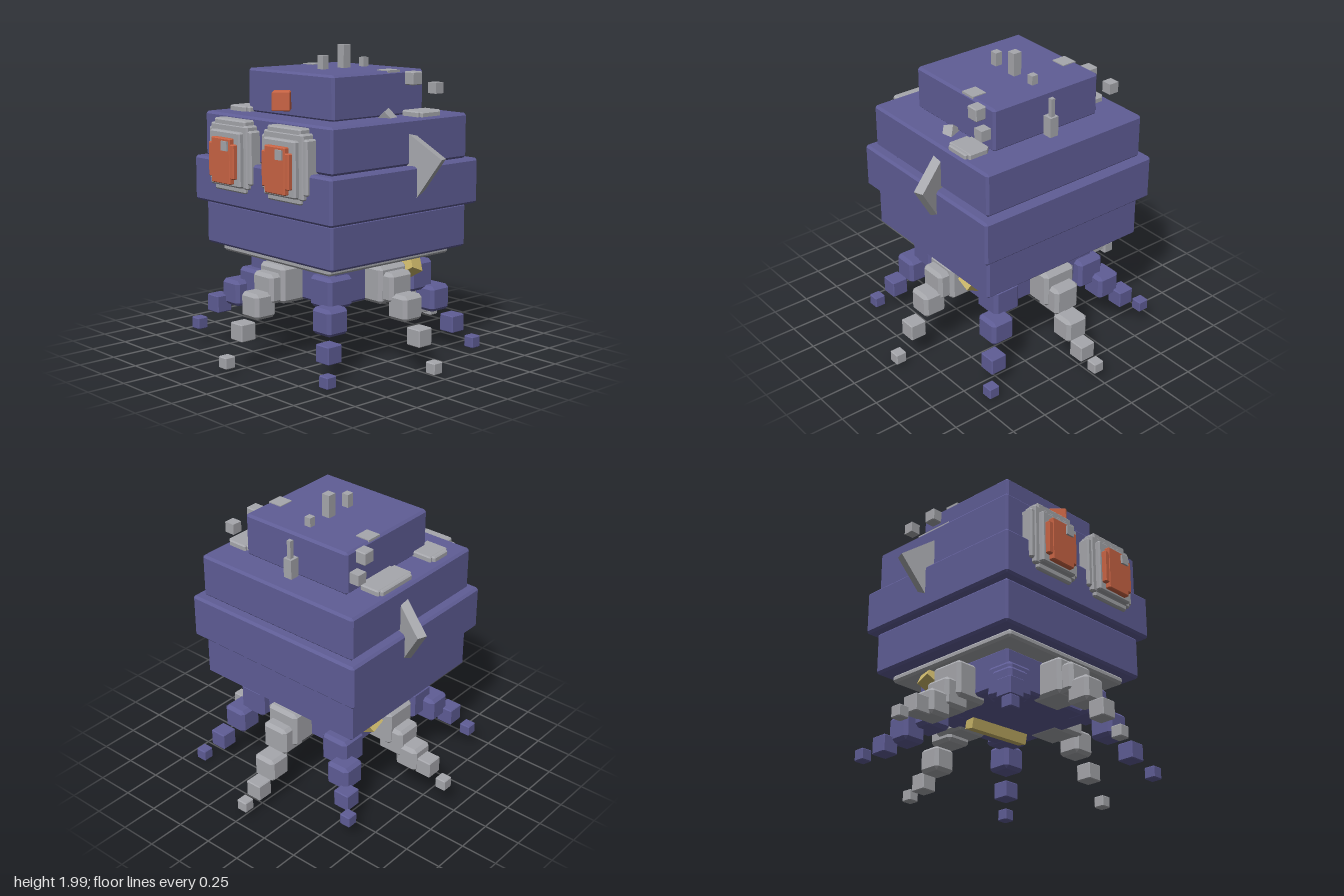
import * as THREE from 'three';
import { ConvexGeometry } from 'three/addons/geometries/ConvexGeometry.js';

const mat = (name, color) => new THREE.MeshStandardMaterial({ name, color });

export function createModel() {
  const root = new THREE.Group();
  const blue = mat('indigo', 0x5f5d96);
  const grey = mat('grey', 0xa6a7ac);
  const orange = mat('orange', 0xcb6545);
  const gold = mat('gold', 0xc8b468);

  const place = (geo, m, name, pos, parent = root) => {
    const mesh = new THREE.Mesh(geo, m);
    mesh.name = name;
    mesh.position.set(...pos);
    parent.add(mesh);
    return mesh;
  };
  const box = (name, m, size, pos, parent) =>
    place(new THREE.BoxGeometry(...size), m, name, pos, parent);

  // Box with flat chamfers of width c along every edge
  const bevelBox = (name, m, [w, h, d], pos, c = 0.015, parent = root) => {
    const pts = [];
    for (const x of [-1, 1]) for (const y of [-1, 1]) for (const z of [-1, 1])
      for (let k = 0; k < 3; k++)
        pts.push(new THREE.Vector3(
          x * (w / 2 - (k === 0 ? 0 : c)),
          y * (h / 2 - (k === 1 ? 0 : c)),
          z * (d / 2 - (k === 2 ? 0 : c))));
    return place(new ConvexGeometry(pts), m, name, pos, parent);
  };

  // Stacked body tiers: width, bottom, top, depth
  for (const [name, m, w, y0, y1, d] of [
    ['core', blue, 0.82, 0.415, 0.66, 0.78],
    ['skirt', grey, 1.05, 0.65, 0.7, 1.05],
    ['lowerTier', blue, 1.23, 0.7, 0.985, 1.17],
    ['middleTier', blue, 1.335, 0.985, 1.28, 1.275],
    ['upperTier', blue, 1.23, 1.28, 1.57, 1.17],
    ['headTier', blue, 0.82, 1.565, 1.85, 0.78],
  ]) bevelBox(name, m, [w, y1 - y0, d], [0, (y0 + y1) / 2, 0]);

  // Eyes: overlapping grey frames, orange lenses and a small glint
  for (const s of [-1, 1]) {
    const eye = new THREE.Group();
    eye.name = s > 0 ? 'leftEye' : 'rightEye';
    eye.position.set(s * 0.265, 0, 0);
    root.add(eye);
    bevelBox('eyeFrameTall', grey, [0.31, 0.46, 0.1], [0, 1.32, 0.612], 0.01, eye);
    bevelBox('eyeFrame', grey, [0.37, 0.4, 0.1], [0, 1.32, 0.617], 0.01, eye);
    bevelBox('eyeFrameWide', grey, [0.425, 0.34, 0.1], [0, 1.32, 0.61], 0.01, eye);
    bevelBox('eyeInnerFrame', grey, [0.3, 0.35, 0.1], [0, 1.305, 0.65], 0.01, eye);
    bevelBox('eyeLensTall', orange, [0.19, 0.29, 0.1], [0, 1.295, 0.684], 0.006, eye);
    bevelBox('eyeLensWide', orange, [0.255, 0.22, 0.1], [0, 1.295, 0.68], 0.006, eye);
    box('eyeGlint', grey, [0.06, 0.06, 0.02], [0.052, 1.393, 0.737], eye);
  }

  // Diamond-set nose block
  bevelBox('nose', orange, [0.115, 0.122, 0.115], [0, 1.673, 0.45], 0.006)
    .rotation.y = Math.PI / 4;

  // Posts on the crown and the back post
  for (const [z, top, w] of [[0.105, 1.938, 0.05], [-0.075, 2, 0.058], [-0.25, 1.91, 0.045]])
    box('crownPost', grey, [w, top - 1.84, w], [0, (top + 1.84) / 2, z]);
  box('backPostBase', grey, [0.062, 0.13, 0.066], [0, 1.635, -0.427]);
  box('backPostRod', grey, [0.028, 0.13, 0.028], [0, 1.755, -0.432]);

  for (const s of [-1, 1]) {
    // Stepped cubes and flush plates beside the crown
    bevelBox('upperSideCube', grey, [0.08, 0.085, 0.085], [s * 0.44, 1.8, -0.265], 0.006);
    box('lowerSideCube', grey, [0.07, 0.07, 0.07], [s * 0.505, 1.735, -0.403]);
    box('crownPlate', grey, [0.1, 0.02, 0.105], [s * 0.355, 1.846, -0.128]);

    // Angular ear: a square slab set on its corner and swept back
    box(s > 0 ? 'leftEar' : 'rightEar', grey, [0.34, 0.34, 0.065], [s * 0.59, 1.284, -0.082])
      .rotation.set(0, s * 0.35, s * -0.592);

    // Gold wedges tucked under the skirt
    box('skirtWedge', gold, [0.2, 0.13, 0.1], [s * 0.42, 0.585, -0.22])
      .rotation.set(-0.4, 0, s * 0.6);
  }
  box('bellyBar', gold, [0.44, 0.07, 0.075], [0.06, 0.382, -0.16]).rotation.set(0.2, -0.12, 0);

  // Patches lying on the shoulders: each is two crossing plates
  for (const [x, z, w, d] of [
    [-0.49, -0.115, 0.18, 0.33], [-0.46, 0.35, 0.2, 0.18], [0.51, -0.27, 0.18, 0.21],
  ]) {
    bevelBox('shoulderPatch', grey, [w, 0.045, d - 0.04], [x, 1.58, z], 0.008);
    bevelBox('shoulderPatch', grey, [w - 0.04, 0.05, d], [x, 1.58, z], 0.008);
  }
  box('shoulderShard', grey, [0.08, 0.08, 0.07], [0.455, 1.565, -0.02])
    .rotation.set(0.3, 0.4, 0.6);

  // Legs: shrinking blocks stepping outward; heights listed from hip to tip
  const leg = (name, m, dx, dz, steps, sizes, heights) => {
    const g = new THREE.Group();
    g.name = name;
    root.add(g);
    heights.forEach((y, i) => {
      const s = sizes[i];
      bevelBox('legBlock', m, [s, s, s], [dx * steps[i], y, dz * steps[i]],
        s > 0.14 ? 0.022 : 0.006, g);
    });
  };
  const straightSteps = [0.43, 0.53, 0.65, 0.775, 0.905];
  const straightSizes = [0.24, 0.19, 0.165, 0.113, 0.076];
  for (const [name, dx, dz, heights] of [
    ['frontLeg', 0, 1, [0.525, 0.505, 0.405, 0.255, 0.08]],
    ['backLeg', 0, -1, [0.52, 0.455, 0.28, 0.158, 0.1]],
    ['leftLeg', 1, 0, [0.53, 0.52, 0.405, 0.237, 0.065]],
    ['rightLeg', -1, 0, [0.5, 0.4, 0.31, 0.275, 0.196]],
  ]) leg(name, grey, dx, dz, straightSteps, straightSizes, heights);

  const cornerSteps = [0.27, 0.355, 0.45, 0.545, 0.64];
  const cornerSizes = [0.18, 0.2, 0.17, 0.115, 0.077];
  for (const [name, dx, dz, heights] of [
    ['frontLeftLeg', 1, 1, [0.53, 0.51, 0.355, 0.185, 0.049]],
    ['backLeftLeg', 1, -1, [0.53, 0.51, 0.355, 0.18, 0.052]],
    ['frontRightLeg', -1, 1, [0.46, 0.44, 0.375, 0.295, 0.155]],
    ['backRightLeg', -1, -1, [0.5, 0.43, 0.32, 0.22, 0.155]],
  ]) leg(name, blue, dx, dz, cornerSteps, cornerSizes, heights);

  return root;
}
